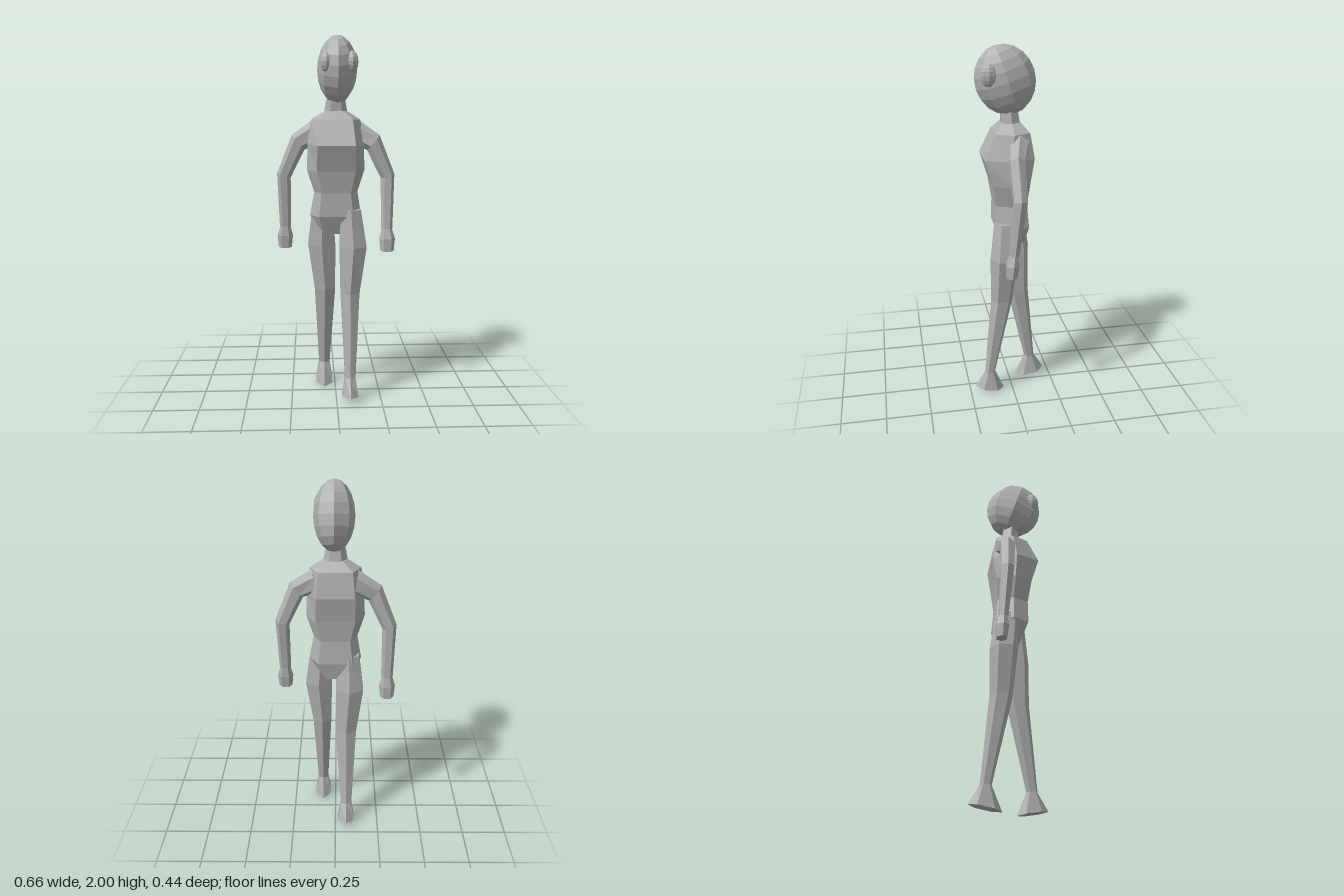
import * as THREE from 'three';

const gray = new THREE.MeshStandardMaterial({ color: 0xb0b0b0, flatShading: true });
gray.name = 'light gray';

// Regular outline with n corners, first corner turned by phase
const outline = (n, phase = 0) => Array.from({ length: n }, (_, i) => {
  const a = phase + (i / n) * Math.PI * 2;
  return [Math.cos(a), Math.sin(a)];
});

// Closed low-poly skin over rings listed top to bottom:
// [x, y, z, half width, half depth, y rise at +x, y rise at +z]
function loft(shape, rings) {
  const n = shape.length, pos = [], index = [];
  for (const [x, y, z, rx, rz, dx = 0, dz = 0] of rings)
    for (const [u, v] of shape) pos.push(x + u * rx, y + u * dx + v * dz, z + v * rz);
  for (let r = 0; r < rings.length - 1; r++)
    for (let i = 0; i < n; i++) {
      const j = (i + 1) % n, a = r * n, b = a + n;
      index.push(a + i, a + j, b + i, a + j, b + j, b + i);
    }
  const e = (rings.length - 1) * n;
  for (let i = 1; i < n - 1; i++) index.push(0, i + 1, i, e, e + i, e + i + 1);
  const g = new THREE.BufferGeometry();
  g.setAttribute('position', new THREE.Float32BufferAttribute(pos, 3));
  g.setIndex(index);
  const flat = g.toNonIndexed();
  flat.computeVertexNormals();
  return flat;
}

export function createModel() {
  const model = new THREE.Group();
  const add = (name, geometry) => {
    const mesh = new THREE.Mesh(geometry, gray);
    mesh.name = name;
    model.add(mesh);
    return mesh;
  };
  const ball = (name, w, h, x, y, z, rx, ry, rz, tilt) => {
    const mesh = add(name, new THREE.SphereGeometry(1, w, h));
    mesh.position.set(x, y, z);
    mesh.scale.set(rx, ry, rz);
    mesh.rotation.x = tilt;
    return mesh;
  };

  // Torso: six sides with a broad flat chest and back
  const body = [[1, 0], [0.66, 1], [-0.66, 1], [-1, 0], [-0.66, -1], [0.66, -1]];
  add('torso', loft(body, [
    [0, 1.6, 0, 0.065, 0.05],
    [0, 1.555, 0, 0.135, 0.09],
    [0, 1.42, 0.02, 0.155, 0.133],
    [0, 1.28, 0.01, 0.158, 0.1],
    [0, 1.16, 0.007, 0.12, 0.085],
    [0, 1.03, 0.002, 0.142, 0.09],
    [-0.005, 0.93, -0.008, 0.09, 0.062],
  ]));
  add('neck', loft(outline(6), [
    [0.005, 1.74, 0.02, 0.045, 0.045],
    [0, 1.67, 0.008, 0.05, 0.05],
    [0, 1.59, 0, 0.065, 0.055],
  ]));

  // Head and bulging eyes
  ball('head', 8, 10, 0.007, 1.82, 0.027, 0.108, 0.183, 0.16, 0.32);
  ball('rightEye', 8, 8, -0.054, 1.855, 0.128, 0.032, 0.058, 0.043, 0);
  ball('leftEye', 8, 8, 0.082, 1.855, 0.125, 0.032, 0.058, 0.043, 0);

  // Arms: mirrored rings, each with its own swing in z
  const swings = {
    left: [1, [-0.03, 0.002, 0, 0.03, 0.04, 0.045]],
    right: [-1, [-0.05, -0.045, -0.06, -0.08, -0.085, -0.088]],
  };
  for (const [name, [s, z]] of Object.entries(swings)) {
    const arm = [
      [0.11, 1.49, 0.012, 0.055, 0.065],
      [0.207, 1.43, 0.034, 0.045, 0.042],
      [0.288, 1.245, 0.038, 0.04, 0.012],
      [0.283, 0.955, 0.032, 0.028, 0],
    ].map(([x, y, rx, rz, dx], i) => [s * x, y, z[i], rx, rz, s * dx]);
    add(name + 'Arm', loft(outline(6), arm));
    add(name + 'Hand', loft(outline(6), [
      [s * 0.283, 0.965, z[3], 0.026, 0.024],
      [s * 0.285, 0.9, z[4], 0.044, 0.037],
      [s * 0.285, 0.83, z[5], 0.037, 0.03],
    ]));
  }

  // Legs: striding, left forward and right back
  add('leftLeg', loft(outline(6, Math.PI / 6), [
    [0.08, 1.065, 0.035, 0.065, 0.068],
    [0.094, 0.86, 0.05, 0.085, 0.077],
    [0.077, 0.6, 0.062, 0.06, 0.062],
    [0.076, 0.13, 0.134, 0.034, 0.03],
  ]));
  add('leftFoot', loft(outline(6, Math.PI / 6), [
    [0.076, 0.13, 0.134, 0.034, 0.03],
    [0.077, 0.022, 0.137, 0.052, 0.083, 0, 0.013],
  ]));
  add('rightLeg', loft(outline(6, Math.PI / 6), [
    [-0.073, 1.065, -0.02, 0.065, 0.068],
    [-0.078, 0.86, -0.042, 0.088, 0.077],
    [-0.06, 0.6, -0.053, 0.067, 0.062],
    [-0.063, 0.13, -0.128, 0.036, 0.03],
  ]));
  add('rightFoot', loft(outline(6, Math.PI / 6), [
    [-0.063, 0.13, -0.128, 0.036, 0.03],
    [-0.063, 0.017, -0.13, 0.054, 0.086, 0, -0.017],
  ]));
  return model;
}
